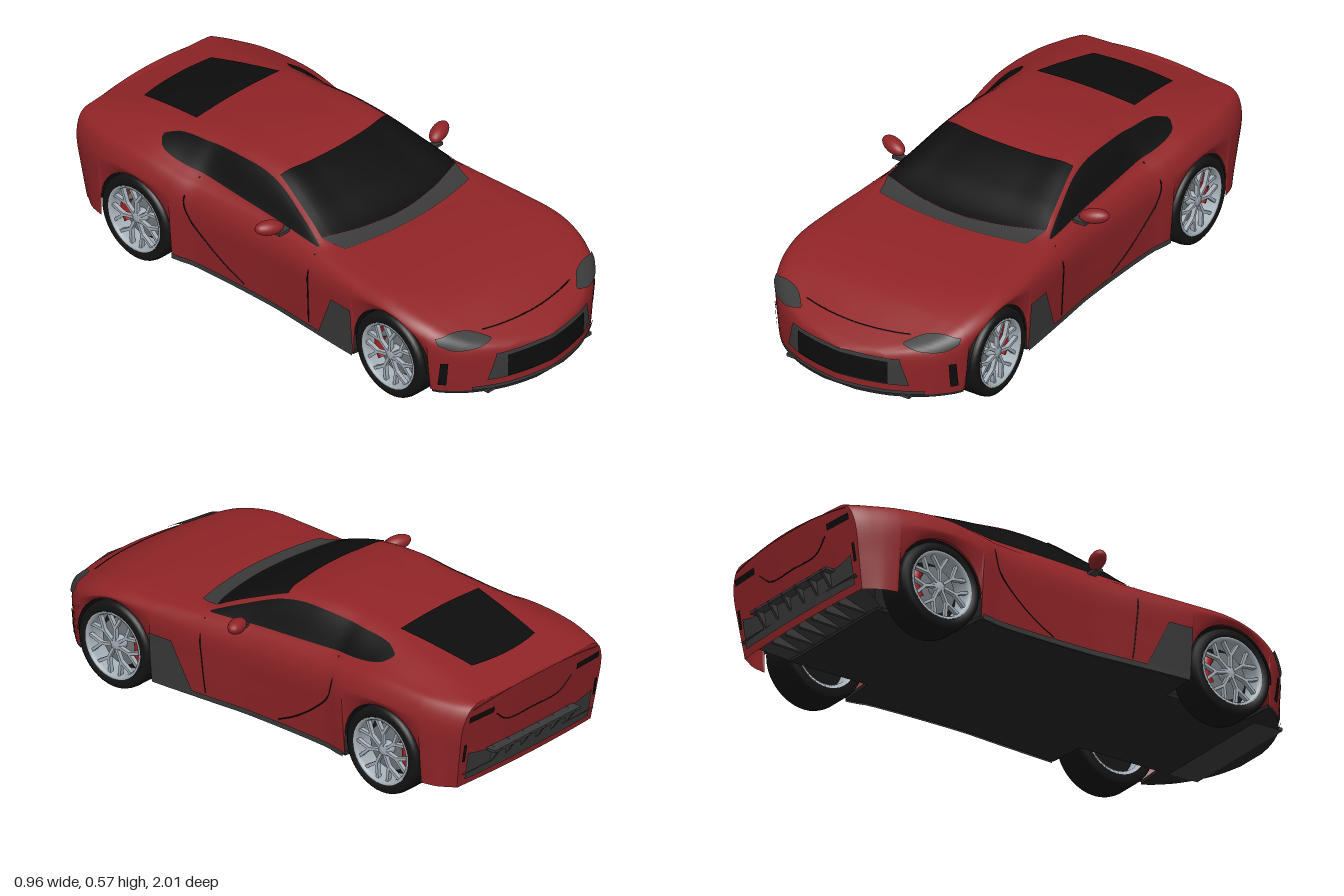
import * as THREE from 'three';

const mat = (name, color) => Object.assign(new THREE.MeshStandardMaterial({ color, side: THREE.DoubleSide }), { name });
const paint = mat('red paint', 0x902427), glass = mat('black glass', 0x0d0d0d), trim = mat('grey trim', 0x3a3a3a);
const rubber = mat('tyre rubber', 0x131313), under = mat('underbody', 0x222222), alloy = mat('alloy', 0xa5b0b8);
const steel = mat('brake steel', 0x70777c), brakeRed = mat('brake red', 0xa81e20);

// Smooth curve through [position, value] pairs
function profile(...p) {
  const slope = i => {
    const a = p[Math.max(i - 1, 0)], b = p[Math.min(i + 1, p.length - 1)];
    return (b[1] - a[1]) / (b[0] - a[0]);
  };
  return z => {
    if (z <= p[0][0]) return p[0][1];
    if (z >= p[p.length - 1][0]) return p[p.length - 1][1];
    let i = 0;
    while (z > p[i + 1][0]) i++;
    const d = p[i + 1][0] - p[i][0], t = (z - p[i][0]) / d, t2 = t * t, t3 = t2 * t;
    return p[i][1] * (2 * t3 - 3 * t2 + 1) + p[i + 1][1] * (3 * t2 - 2 * t3)
      + d * (slope(i) * (t3 - 2 * t2 + t) + slope(i + 1) * (t3 - t2));
  };
}

// Body lines along the length: half width, heights and width fractions
const W = profile([-.98, .37], [-.93, .392], [-.8, .425], [-.6, .437], [-.44, .427], [-.36, .41], [0, .402], [.2, .415],
  [.45, .43], [.7, .428], [.8, .4], [.85, .362], [.9, .305], [.957, .2], [.985, .1], [.998, .012]);
const top = profile([-.98, .43], [-.72, .498], [-.5, .545], [-.29, .568], [-.15, .568], [-.02, .541], [.115, .488],
  [.26, .418], [.41, .413], [.6, .4], [.76, .365], [.89, .3], [.96, .262], [1, .235]);
const waistY = profile([-.98, .34], [-.63, .366], [-.3, .34], [.2, .34], [.6, .36], [.75, .315], [.88, .25], [.957, .22], [1, .19]);
const shoulderY = profile([-.98, .4], [-.8, .42], [-.6, .426], [-.4, .405], [-.1, .395], [.2, .39], [.45, .387], [.6, .382],
  [.75, .345], [.88, .283], [.95, .25], [1, .213]);
const beltY = profile([-.98, .422], [-.8, .44], [-.6, .455], [-.4, .432], [-.1, .42], [.2, .407], [.45, .401], [.6, .394],
  [.75, .356], [.88, .293], [.96, .255], [1, .222]);
const beltX = profile([-.98, .86], [-.6, .83], [-.4, .85], [-.1, .88], [.2, .88], [.4, .82], [1, .8]);
const railY = profile([-.98, .428], [-.75, .482], [-.5, .524], [-.3, .546], [-.2, .548], [-.06, .532], [.1, .474], [.22, .42],
  [.35, .409], [.6, .398], [.75, .362], [.88, .298], [.96, .26], [1, .23]);
const railX = profile([-.98, .7], [-.75, .61], [-.5, .59], [-.2, .64], [-.06, .67], [.1, .75], [.22, .8], [.35, .64], [1, .6]);

const AXLES = [.61, -.635], ARCH = .175, HUB = .165, SEG = 5;
const sillY = z => {
  let y = .095;
  for (const a of AXLES) if (Math.abs(z - a) < ARCH) y = HUB + Math.sqrt(ARCH ** 2 - (z - a) ** 2);
  return y;
};

// Half cross-section from sill to roof centre
function section(z) {
  const w = W(z), yb = sillY(z), yw = waistY(z), xr = w * railX(z), yr = railY(z), yt = top(z);
  const half = [[w * .965, yb], [w * .99, (yb + yw) / 2], [w, yw], [w * .94, shoulderY(z)], [w * beltX(z), beltY(z)],
    [xr, yr], [xr * .5, yr + (yt - yr) * .8], [0, yt]];
  const all = [...half, ...half.slice(0, -1).reverse().map(([x, y]) => [-x, y])].map(([x, y]) => new THREE.Vector3(x, y, 0));
  const c = new THREE.CatmullRomCurve3(all, false, 'centripetal');
  return Array.from({ length: 7 * SEG + 1 }, (_, i) => c.getPoint(i / (14 * SEG)));
}
// Surface lookups: from the side, from above and from the front
function sideX(y, z) {
  const h = section(z);
  if (y <= h[0].y) return h[0].x;
  for (let i = 0; i < h.length - 1; i++) {
    if (y <= h[i + 1].y) return h[i].x + (h[i + 1].x - h[i].x) * (y - h[i].y) / (h[i + 1].y - h[i].y);
  }
  return 0;
}
function topY(x, z) {
  const h = section(z);
  for (let i = 2 * SEG; i < h.length - 1; i++) {
    if (x <= h[i].x && x >= h[i + 1].x) return h[i].y + (h[i + 1].y - h[i].y) * (x - h[i].x) / (h[i + 1].x - h[i].x);
  }
  return h[2 * SEG].y;
}
function frontZ(x, y) {
  let a = .7, b = .998;
  for (let i = 0; i < 14; i++) {
    const m = (a + b) / 2;
    if (sideX(y, m) > Math.abs(x)) a = m; else b = m;
  }
  return a;
}
// The tail leans forward towards the bottom
const lean = (y, z) => z + .16 * (.4 - y) * THREE.MathUtils.smoothstep(-z, .85, .98);
const onSide = (s, y, z, off) => [s * (sideX(y, z) + off), y, lean(y, z)];
const onTop = (x, z, off) => { const y = topY(Math.abs(x), z) + off; return [x, y, lean(y, z)]; };
const onFront = (x, y, off) => [x * (1 + off), y + off * .4, frontZ(x, y) + off];
const onTail = (x, y, off) => [x, y, lean(y, -.98) - .012 * (1 - (x / .37) ** 2) - off];

// Grid surface from f(u, v), both 0..1
function grid(f, nu, nv) {
  const pos = [], idx = [];
  for (let i = 0; i <= nu; i++) for (let j = 0; j <= nv; j++) {
    pos.push(...f(i / nu, j / nv));
    const a = i * (nv + 1) + j, b = a + nv + 1;
    if (i < nu && j < nv) idx.push(a, b, a + 1, b, b + 1, a + 1);
  }
  const g = new THREE.BufferGeometry();
  g.setAttribute('position', new THREE.Float32BufferAttribute(pos, 3));
  g.setIndex(idx);
  g.computeVertexNormals();
  return g;
}

export function createModel() {
  const car = new THREE.Group();
  car.name = 'sportsCar';
  const add = (name, geo, m, parent = car) => {
    const mesh = new THREE.Mesh(geo, m);
    mesh.name = name;
    parent.add(mesh);
    return mesh;
  };
  const patch = (name, m, f, nu = 24, nv = 8) => add(name, grid(f, nu, nv), m);
  const seam = (name, pts) => add(name, new THREE.TubeGeometry(
    new THREE.CatmullRomCurve3(pts.map(p => new THREE.Vector3(...p))), 40, .0025, 5), glass);
  const mix = THREE.MathUtils.lerp;

  // Body shell, with extra rings at the arch ends and the nose
  const zs = [.965, .972, .985, .99, .994, .998];
  for (let z = -.98; z < .961; z += .02) zs.push(z);
  for (const a of AXLES) for (const d of [ARCH - .0005, ARCH + .0005, ARCH - .006]) zs.push(a - d, a + d);
  zs.sort((a, b) => a - b);
  const rings = zs.map(z => {
    const h = section(z).map(p => [p.x, p.y, lean(p.y, z)]);
    return [...h, ...h.slice(0, -1).reverse().map(([x, y, q]) => [-x, y, q])];
  });
  const nr = zs.length - 1, np = rings[0].length - 1;
  patch('bodyShell', paint, (u, v) => rings[Math.round(u * nr)][Math.round(v * np)], nr, np);
  const tail = section(-.98);
  patch('tailPanel', paint, (u, v) => {
    const p = tail[Math.round(v * 35)];
    const x = p.x * (1 - 2 * u);
    return [x, p.y, lean(p.y, -.98) - .012 * (1 - (2 * u - 1) ** 2)];
  }, 16, 35);
  patch('noseTip', paint, (u, v) => { const p = rings[nr][Math.round(v * 35)]; return [p[0] * (2 * u - 1), p[1], p[2]]; }, 2, 35);

  // Glass and cowl
  patch('windscreen', glass, (u, v) => {
    const k = 2 * u - 1;
    return onTop(k * mix(.335, .268, v), mix(.265 - .065 * k * k, -.04 - .03 * k * k, v), .005);
  }, 30, 16);
  patch('cowl', trim, (u, v) => {
    const k = 2 * u - 1;
    return onTop(k * mix(.335, .31, v), mix(.265 - .065 * k * k, .33 - .04 * k * k, v), .004);
  }, 30, 5);
  patch('rearWindow', glass, (u, v) => {
    const k = 2 * u - 1;
    return onTop(k * mix(.208, .168, v), mix(-.54, -.855 + .018 * k * k, v), .005);
  }, 16, 16);
  const winLow = profile([-.6, .483], [-.57, .465], [-.45, .447], [-.02, .424], [.21, .41]);
  const winHigh = profile([-.6, .49], [-.55, .508], [-.45, .521], [-.2, .537], [-.06, .521], [.1, .462], [.21, .414]);
  const lampLow = profile([0, .282], [.4, .269], [.8, .268], [1, .288]);
  const lampHigh = profile([0, .286], [.3, .311], [.7, .319], [1, .31]);

  for (const s of [1, -1]) {
    const side = s > 0 ? 'left' : 'right';
    patch(side + 'SideWindow', glass, (u, v) => {
      const z = mix(-.6, .21, u);
      return onSide(s, mix(winLow(z), winHigh(z), v), z, .004);
    }, 36, 8);
    patch(side + 'FenderVent', trim, (u, v) => onSide(s, mix(.09, .28, v), mix(mix(.25, .335, v), .434, u), .005), 8, 10);
    patch(side + 'SillStrip', trim, (u, v) => onSide(s, mix(.083, .103, v), mix(-.455, .43, u), .006), 24, 1);
    seam(side + 'DoorFrontSeam', [.395, .33, .25, .17, .11].map((y, i) => onSide(s, y, .215 - i * .004, 0)));
    seam(side + 'DoorRearSeam', [[.43, -.38], [.36, -.4], [.29, -.38], [.22, -.31], [.15, -.21], [.11, -.13]]
      .map(([y, z]) => onSide(s, y, z, 0)));
    // Front lamps, bumper slots and tail lamps
    patch(side + 'Headlight', trim, (u, v) => onFront(s * mix(.215, .39, u), mix(lampLow(u), lampHigh(u), v), .008), 16, 6);
    patch(side + 'BumperSlot', glass, (u, v) => onFront(s * mix(.366, .384, u), mix(.12, .215, v), .006), 3, 6);
    patch(side + 'TailLamp', glass, (u, v) => onTail(s * mix(.22, .345, u), mix(.358, .382, v), .004), 6, 1);
    patch(side + 'RearVent', glass, (u, v) => onTail(s * mix(.34, .355, u), mix(.2, .27, v), .004), 1, 4);
    // Door mirror
    const shell = add(side + 'Mirror', new THREE.SphereGeometry(1, 20, 14), paint);
    shell.scale.set(.056, .027, .03);
    shell.position.set(s * .426, .438, .03);
    shell.rotation.set(0, s * .35, s * .12);
    const arm = add(side + 'MirrorArm', new THREE.BoxGeometry(.07, .012, .03), trim);
    arm.position.set(s * .375, .413, .05);

    // Wheels, brakes and wheel wells
    AXLES.forEach((z, i) => {
      const end = i ? 'Rear' : 'Front';
      const wheel = new THREE.Group();
      wheel.name = side + end + 'Wheel';
      wheel.position.set(s * .354, HUB, z);
      wheel.rotation.y = s > 0 ? 0 : Math.PI;
      car.add(wheel);
      const lathe = (name, m, pts) => add(name, new THREE.LatheGeometry(pts.map(p => new THREE.Vector2(...p)), 40)
        .rotateZ(-Math.PI / 2), m, wheel);
      lathe('tyre', rubber, [[.126, -.072], [.152, -.072], [.162, -.064], [.165, -.05], [.165, .05], [.162, .064],
        [.152, .072], [.13, .072], [.126, .062]]);
      lathe('rim', alloy, [[.128, .07], [.119, .07], [.114, .055], [.112, -.065], [.126, -.072]]);
      lathe('brakeDisc', steel, [[0, .022], [.088, .022], [.088, .01], [0, .01]]);
      lathe('wheelBack', rubber, [[0, -.01], [.112, -.01]]);
      lathe('hubCap', alloy, [[0, .06], [.02, .06], [.026, .052], [.026, .02]]);
      const spoke = (r1, a1, r2, a2) => {
        const y1 = r1 * Math.cos(a1), z1 = r1 * Math.sin(a1), y2 = r2 * Math.cos(a2), z2 = r2 * Math.sin(a2);
        const bar = add('spoke', new THREE.BoxGeometry(.016, Math.hypot(y2 - y1, z2 - z1) + .004, .011), alloy, wheel);
        bar.position.set(.054, (y1 + y2) / 2, (z1 + z2) / 2);
        bar.rotation.x = Math.atan2(z2 - z1, y2 - y1);
      };
      for (let k = 0; k < 7; k++) {
        const a = k / 7 * Math.PI * 2;
        spoke(.018, a, .066, a);
        spoke(.064, a, .118, a + .26);
        spoke(.064, a, .118, a - .26);
      }
      const caliper = add('caliper', new THREE.TorusGeometry(.085, .02, 8, 12, 1.3), brakeRed, wheel);
      caliper.geometry.rotateZ(-.65).rotateY(s * Math.PI / 2);
      caliper.position.x = .022;
      const well = add(side + end + 'WheelWell',
        new THREE.CylinderGeometry(ARCH, ARCH, .16, 32, 1, true, 0, Math.PI).rotateZ(Math.PI / 2), rubber);
      well.position.set(s * .332, HUB, z);
    });
  }

  // Grille, surround and lower lip
  patch('grilleSurround', trim, (u, v) => onFront((2 * u - 1) * mix(.255, .225, v), mix(.132, .237, v), .005), 40, 6);
  patch('grille', glass, (u, v) => onFront((2 * u - 1) * .188, mix(.136, .224, v), .009), 32, 4);
  patch('lowerLip', trim, (u, v) => onFront((2 * u - 1) * .3, mix(.096, .11, v), .006), 32, 1);
  seam('bonnetSeam', Array.from({ length: 13 }, (_, i) => {
    const k = i / 6 - 1;
    return onTop(k * .22, .9 - .03 * k * k, 0);
  }));

  // Floor, narrowed beside the wheels
  const edge = [];
  for (let z = -.8; z < .992; z += .01) {
    edge.push([AXLES.some(a => Math.abs(z - a) < ARCH) ? .265 : W(z) * .96, z]);
  }
  const plan = [...edge, ...edge.slice().reverse().map(([x, z]) => [-x, z])].map(p => new THREE.Vector2(...p));
  add('floor', new THREE.ExtrudeGeometry(new THREE.Shape(plan), { depth: .015, bevelEnabled: false })
    .rotateX(Math.PI / 2).translate(0, .1, 0), under);
  add('chassisCore', new THREE.BoxGeometry(.5, .17, 1.6), under).position.set(0, .19, 0);
  add('splitter', new THREE.BoxGeometry(.52, .012, .12), trim).position.set(0, .09, .88);

  // Rear diffuser with fins, tail recess and lip
  patch('diffuserRamp', trim, (u, v) => [(2 * u - 1) * mix(.27, .35, v), mix(.09, .15, v), mix(-.78, -.955, v)], 4, 4);
  patch('diffuserPanel', trim, (u, v) => {
    const k = 2 * u - 1;
    return onTail(k * .33, mix(.12, .2 + .03 * Math.abs(k) ** 3, v), .005);
  }, 16, 6);
  const fin = new THREE.Shape([[.74, .092], [.92, .1], [1, .212], [.95, .215]].map(p => new THREE.Vector2(...p)));
  for (let i = 0; i < 6; i++) {
    add('diffuserFin', new THREE.ExtrudeGeometry(fin, { depth: .012, bevelEnabled: false }).rotateY(Math.PI / 2)
      .translate(-.206 + i * .08, 0, 0), trim);
  }
  add('diffuserLedge', new THREE.BoxGeometry(.46, .01, .04), trim).position.set(0, .208, -.978);
  seam('tailRecessSeam', [[-.2, .345], [-.14, .3], [0, .296], [.14, .3], [.2, .345]].map(([x, y]) => onTail(x, y, 0)));
  patch('tailLip', paint, (u, v) => {
    const x = (2 * u - 1) * .33;
    return [x, mix(.43, .434, v) - .25 * x * x, mix(-.95, -1, v) + .12 * x * x];
  }, 16, 2);
  return car;
}
